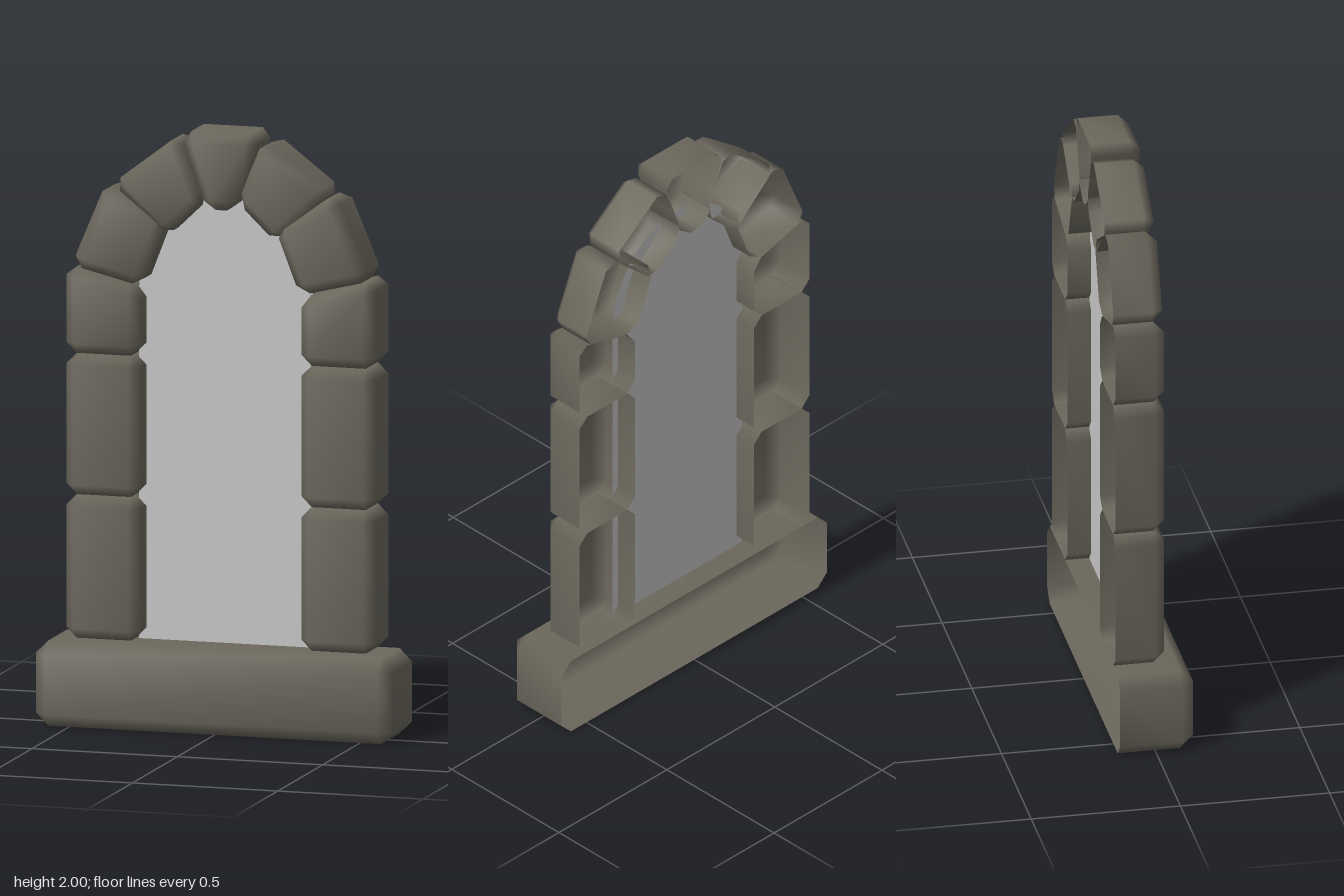
import * as THREE from 'three';

const stone = new THREE.MeshStandardMaterial({ color: 0x6b675c, side: THREE.DoubleSide });
stone.name = 'stone';
const glass = new THREE.MeshStandardMaterial({ color: 0xc8c8c8, side: THREE.DoubleSide });
glass.name = 'glass';

const BACK = -0.125;

// Hollow stone, open at the back, with all other edges chamfered.
// corners: four [x, y] points, counter-clockwise seen from the front.
function stoneBlock(name, corners, front, c) {
  const pts = corners.map(([x, y]) => new THREE.Vector2(x, y));
  const outline = [], inset = [];
  pts.forEach((p, i) => {
    const toPrev = pts[(i + 3) % 4].clone().sub(p).setLength(c);
    const toNext = pts[(i + 1) % 4].clone().sub(p).setLength(c);
    outline.push(p.clone().add(toPrev), p.clone().add(toNext));
    inset.push(p.clone().add(toPrev).add(toNext));
  });
  const pos = [], idx = [];
  outline.forEach((p) => pos.push(p.x, p.y, BACK));
  outline.forEach((p) => pos.push(p.x, p.y, front - c));
  inset.forEach((p) => pos.push(p.x, p.y, front));

  // Side walls
  for (let i = 0; i < 8; i++) {
    const j = (i + 1) % 8;
    idx.push(i, j, 8 + j, i, 8 + j, 8 + i);
  }
  // Front chamfers and corner triangles
  for (let i = 0; i < 4; i++) {
    const a = 8 + 2 * i, b = a + 1, next = 8 + ((2 * i + 2) % 8);
    const f = 16 + i, g = 16 + ((i + 1) % 4);
    idx.push(a, b, f, b, next, g, b, g, f);
  }
  // Front face
  idx.push(16, 17, 18, 16, 18, 19);

  const geo = new THREE.BufferGeometry();
  geo.setAttribute('position', new THREE.Float32BufferAttribute(pos, 3));
  geo.setIndex(idx);
  geo.computeVertexNormals();
  const mesh = new THREE.Mesh(geo, stone);
  mesh.name = name;
  return mesh;
}

const mirrored = (corners) => corners.map(([x, y]) => [-x, y]).reverse();

export function createModel() {
  const group = new THREE.Group();
  group.name = 'archedWindow';

  // Sill
  group.add(stoneBlock('sill',
    [[-0.615, 0], [0.615, 0], [0.615, 0.285], [-0.615, 0.285]], 0.127, 0.043));

  // Jamb and arch stones, given for the +x side and mirrored
  const inner = 0.275, outer = 0.533;
  const sideStones = {
    LowerJamb: [[inner, 0.285], [outer, 0.285], [outer, 0.765], [inner, 0.765]],
    MiddleJamb: [[inner, 0.765], [outer, 0.765], [outer, 1.237], [inner, 1.237]],
    UpperJamb: [[inner, 1.237], [outer, 1.237], [outer, 1.535], [inner, 1.465]],
    LowerArchStone: [[0.27, 1.47], [0.515, 1.53], [0.395, 1.815], [0.185, 1.69]],
    UpperArchStone: [[0.19, 1.64], [0.375, 1.81], [0.145, 1.985], [0.055, 1.77]],
  };
  for (const [name, corners] of Object.entries(sideStones)) {
    group.add(stoneBlock('left' + name, corners, 0.045, 0.036));
    group.add(stoneBlock('right' + name, mirrored(corners), 0.045, 0.036));
  }

  // Keystone
  group.add(stoneBlock('keystone',
    [[-0.055, 1.74], [0.055, 1.74], [0.138, 2], [-0.138, 2]], 0.045, 0.036));

  // Pane, running a little way into the hollow stones
  const shape = new THREE.Shape();
  shape.moveTo(-0.3, 0.25);
  shape.lineTo(0.3, 0.25);
  shape.lineTo(0.3, 1.45);
  shape.absellipse(0, 1.45, 0.3, 0.33, 0, Math.PI, false);
  shape.closePath();
  const pane = new THREE.Mesh(new THREE.ShapeGeometry(shape, 12), glass);
  pane.name = 'pane';
  pane.position.z = -0.045;
  group.add(pane);

  return group;
}
